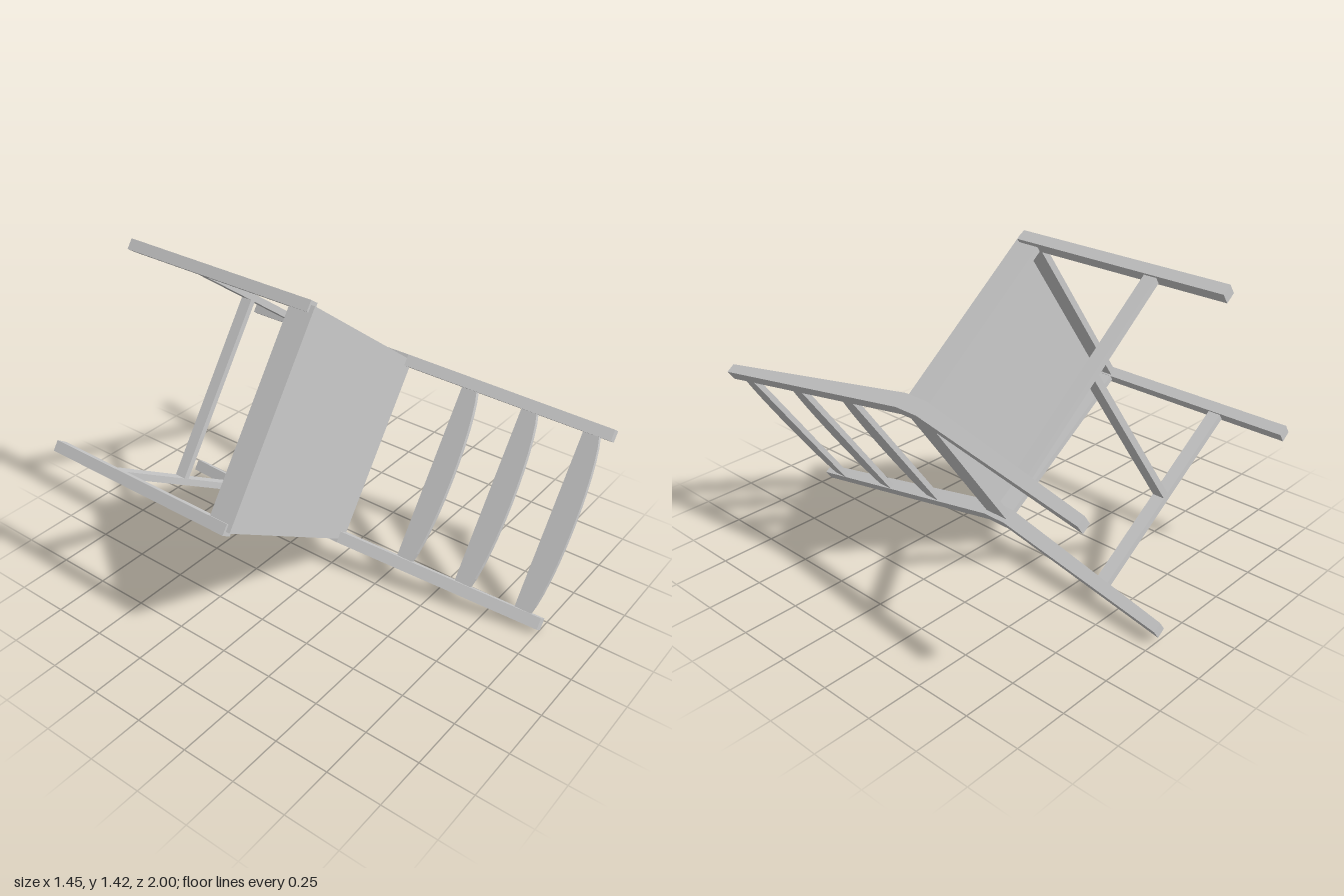
import * as THREE from 'three';

export function createModel() {
  const material = new THREE.MeshStandardMaterial({ color: 0xcccccc, flatShading: true });
  const group = new THREE.Group();
  group.name = 'chair';

  // Chair frame: x across, y up, z towards the front of the seat
  const chair = new THREE.Group();
  chair.name = 'chairFrame';
  group.add(chair);

  const add = (name, geometry, x = 0, y = 0, z = 0) => {
    const mesh = new THREE.Mesh(geometry, material);
    mesh.name = name;
    mesh.position.set(x, y, z);
    chair.add(mesh);
    return mesh;
  };
  const shapeOf = (pts) => new THREE.Shape(pts.map(([a, b]) => new THREE.Vector2(a, b)));
  const extrude = (shape, depth) =>
    new THREE.ExtrudeGeometry(shape, { depth, bevelEnabled: false, curveSegments: 12 });

  // Straight bar between two points [x, z] at one height
  const bar = (name, a, b, y, height, thickness) => {
    const dx = b[0] - a[0], dz = b[1] - a[1];
    const mesh = add(name, new THREE.BoxGeometry(thickness, height, Math.hypot(dx, dz)),
      (a[0] + b[0]) / 2, y, (a[1] + b[1]) / 2);
    mesh.rotation.y = Math.atan2(dx, dz);
  };

  // Side profile of the bent back post, as [z, y]
  const postProfile = [
    [-0.076, -1], [0.086, -0.09], [0.086, 0.03], [-0.104, 1],
    [-0.148, 1], [0.014, 0.03], [0.014, -0.09], [-0.121, -1],
  ];
  const postGeometry = extrude(shapeOf(postProfile), 0.053);
  postGeometry.translate(0, 0, -0.0265);
  postGeometry.rotateY(-Math.PI / 2);
  // rotateY sent the profile's x to +z and the extrusion to -x

  for (const side of [-1, 1]) {
    add('backPost', postGeometry, side * 0.436);
    add('frontLeg', new THREE.BoxGeometry(0.05, 1.01, 0.05), side * 0.475, -0.495, 0.92);
    bar('sideRail', [side * 0.43, 0.06], [side * 0.466, 0.92], -0.045, 0.09, 0.028);
    bar('sideStretcher', [side * 0.436, -0.045], [side * 0.475, 0.92], -0.667, 0.058, 0.032);
  }

  // Seat panel, wider at the front and notched between the posts
  const half = [[0.42, 0.034], [0.42, 0.086], [0.445, 0.086], [0.482, 0.933]];
  const seatPts = [...half, ...half.map(([x, z]) => [-x, z]).reverse()];
  const seat = extrude(shapeOf(seatPts), 0.03);
  seat.rotateX(Math.PI / 2);
  add('seat', seat, 0, 0.03, 0);

  // Front and back seat rails, and the cross stretcher
  bar('frontRail', [-0.477, 0.918], [0.477, 0.918], -0.045, 0.09, 0.03);
  bar('backRail', [-0.42, 0.05], [0.42, 0.05], -0.045, 0.09, 0.032);
  bar('crossStretcher', [-0.452, 0.44], [0.452, 0.44], -0.667, 0.056, 0.03);

  // Back slats with an arched top edge
  const slat = new THREE.Shape();
  slat.moveTo(-0.415, 0);
  slat.lineTo(0.415, 0);
  slat.lineTo(0.415, 0.075);
  slat.bezierCurveTo(0.25, 0.128, -0.25, 0.128, -0.415, 0.075);
  slat.closePath();
  const slatGeometry = extrude(slat, 0.025);
  for (const y of [0.3, 0.585, 0.87]) {
    add('backSlat', slatGeometry, 0, y, 0.048 - 0.176 * (y + 0.05) - 0.0125);
  }

  // Lay the chair on its back, turned about the front axis
  const u = new THREE.Vector3(0.579, 0.815, 0).normalize();
  const forward = new THREE.Vector3(-u.y, u.x, 0);
  const basis = new THREE.Matrix4().makeBasis(u.clone().negate(), new THREE.Vector3(0, 0, 1), forward);
  chair.quaternion.setFromRotationMatrix(basis);
  chair.position.set(0.336, 0.466, 0);
  return group;
}
